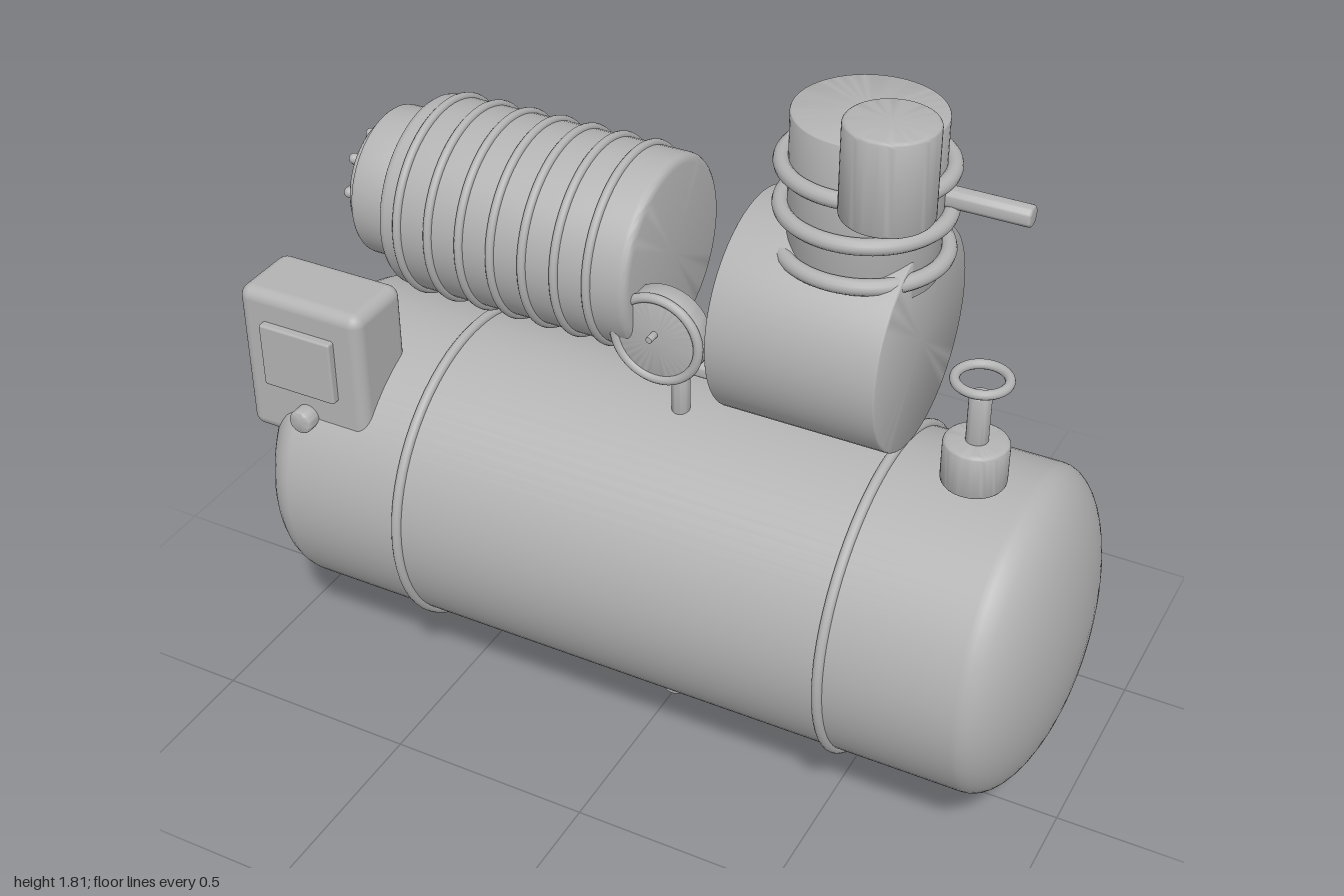
import * as THREE from 'three';
import { toCreasedNormals } from 'three/addons/utils/BufferGeometryUtils.js';
import { RoundedBoxGeometry } from 'three/addons/geometries/RoundedBoxGeometry.js';

export function createModel() {
  const root = new THREE.Group();
  root.name = 'airCompressor';
  const grey = new THREE.MeshStandardMaterial({ color: 0xb3b3b3 });
  grey.name = 'castGrey';

  function add(name, geometry, x, y, z, parent = root) {
    const mesh = new THREE.Mesh(geometry, grey);
    mesh.name = name;
    mesh.position.set(x, y, z);
    parent.add(mesh);
    return mesh;
  }

  // Turn a geometry made around y so that its axis runs along x or z
  function aim(geometry, axis) {
    if (axis === 'x') geometry.rotateZ(-Math.PI / 2);
    if (axis === 'z') geometry.rotateX(Math.PI / 2);
    return geometry;
  }

  // Solid drum centred on its axis, with rounded rims
  function drum(radius, length, axis = 'y', bevel = 0.008, sides = 64) {
    const h = length / 2;
    const points = [new THREE.Vector2(0, -h)];
    for (const end of [-1, 1]) {
      for (let i = 0; i <= 4; i++) {
        const a = (end < 0 ? i - 4 : i) * Math.PI / 8;
        points.push(new THREE.Vector2(
          radius - bevel + bevel * Math.cos(a),
          end * (h - bevel) + bevel * Math.sin(a)));
      }
    }
    points.push(new THREE.Vector2(0, h));
    return aim(toCreasedNormals(new THREE.LatheGeometry(points, sides), 0.6), axis);
  }

  function ring(radius, tube, axis = 'y') {
    return aim(new THREE.TorusGeometry(radius, tube, 12, 64).rotateX(Math.PI / 2), axis);
  }

  // Air tank with elliptical heads
  const tankY = 0.525, tankR = 0.385;
  const profile = [];
  for (const end of [-1, 1]) {
    for (let i = 0; i <= 14; i++) {
      const a = (end < 0 ? 14 - i : i) / 14 * Math.PI / 2;
      profile.push(new THREE.Vector2(
        i === (end < 0 ? 0 : 14) ? 0 : tankR * Math.cos(a),
        end * (0.85 + 0.15 * Math.sin(a))));
    }
  }
  add('tank', aim(new THREE.LatheGeometry(profile, 96), 'x'), 0, tankY, 0);
  for (const side of [-1, 1]) {
    add('tankBand', ring(0.387, 0.012, 'x'), side * 0.54, tankY, 0);
  }
  add('drain', drum(0.038, 0.17, 'y', 0.01, 32), 0, 0.085, 0);

  // Finned motor with end bell and fan guard
  const motor = new THREE.Group();
  motor.name = 'motor';
  motor.position.set(0, 1.26, 0);
  root.add(motor);
  add('motorBody', drum(0.225, 0.63, 'x', 0.02), -0.325, 0, 0, motor);
  for (let i = 0; i < 7; i++) {
    add('coolingFin', ring(0.226, 0.01, 'x'), -0.585 + i * 0.08, 0, 0, motor);
  }
  add('endBell', drum(0.176, 0.12, 'x', 0.012), -0.685, 0, 0, motor);
  add('guardRing', ring(0.134, 0.013, 'x'), -0.757, 0, 0, motor);
  add('fanShaft', drum(0.025, 0.08, 'x', 0.005, 24), -0.765, 0, 0, motor);
  for (let i = 0; i < 4; i++) {
    const bar = add('guardBar', new THREE.CapsuleGeometry(0.013, 0.206, 6, 16), -0.795, 0, 0, motor);
    bar.rotation.x = i * Math.PI / 4;
  }

  // Pump crankcase, ribbed cylinder, intake filter and discharge pipe
  add('crankcase', drum(0.25, 0.39, 'x', 0.005), 0.385, 1.21, 0);
  add('pumpCylinder', drum(0.163, 0.365, 'y', 0.006), 0.437, 1.5375, 0);
  for (const y of [1.41, 1.505, 1.605]) {
    add('cylinderRib', ring(0.177, 0.018), 0.437, y, 0);
  }
  add('intakeFilter', drum(0.098, 0.21, 'y', 0.01), 0.556, 1.705, 0.18);
  add('dischargePipe', drum(0.024, 0.3, 'x', 0.006, 32), 0.63, 1.535, -0.057);

  // Transfer pipe lying on the tank
  add('transferPipe', drum(0.022, 0.45, 'x', 0.006, 32), 0.055, 0.933, -0.06);
  add('pipeCollar', ring(0.037, 0.011, 'x'), 0.268, 0.935, -0.065);

  // Pressure gauge
  add('gaugeStem', drum(0.021, 0.16, 'y', 0.005, 32), 0.043, 0.95, 0.067);
  add('gaugeBody', drum(0.108, 0.06, 'z', 0.006), 0.045, 1.16, 0.16);
  add('gaugeBezel', ring(0.102, 0.011, 'z'), 0.045, 1.16, 0.188);
  add('gaugePivot', drum(0.008, 0.03, 'z', 0.002, 16), 0.042, 1.172, 0.202);

  // Valve with hand wheel
  add('valveBase', drum(0.073, 0.11, 'y', 0.012), 0.736, 0.977, 0.043);
  add('valveStem', drum(0.025, 0.15, 'y', 0.005, 32), 0.736, 1.075, 0.043);
  add('handWheel', ring(0.058, 0.011), 0.736, 1.185, 0.043);

  // Control box, sunk into the tank wall
  add('controlBox', new RoundedBoxGeometry(0.335, 0.39, 0.188, 4, 0.03), -0.823, 0.87, 0.216);
  add('controlPanel', new RoundedBoxGeometry(0.195, 0.165, 0.03, 2, 0.006), -0.825, 0.907, 0.315);
  add('controlKnob', drum(0.03, 0.06, 'z', 0.008, 32), -0.82, 0.755, 0.318);

  return root;
}
